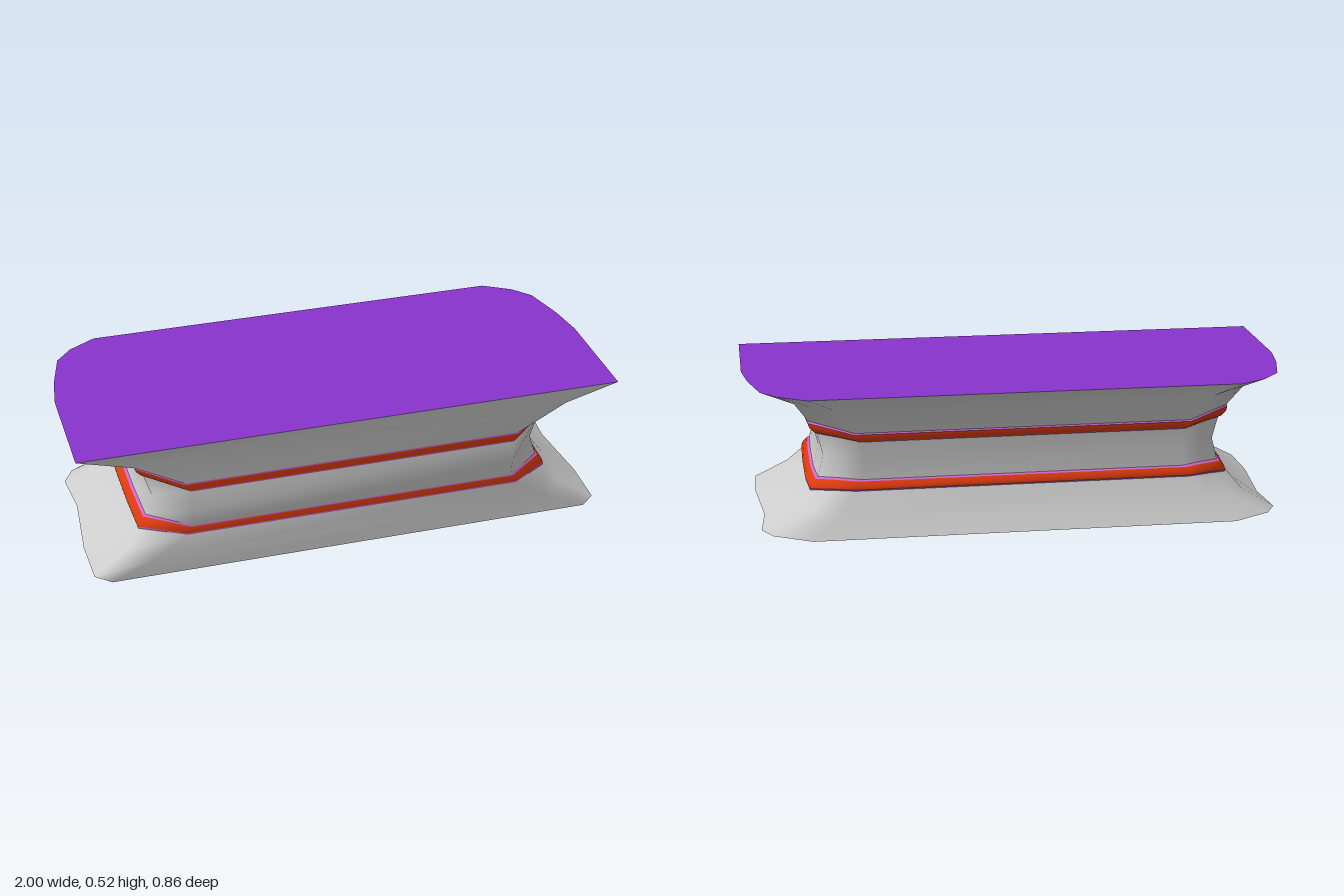
import * as THREE from 'three';

const H = 0.52; // total height
const grey = 0xcccccc, orange = 0xdd3a10, pink = 0xcc66cc, purple = 0x8833cc;

// Half outlines [x, z], from the front corner round the +x side to the back
const TOP = [[1, 0.42], [1, 0.3], [1, 0], [0.98, -0.14], [0.94, -0.3], [0.88, -0.37], [0.78, -0.43]];
const TOP_MID = [[0.8, 0.42], [0.84, 0.32], [0.845, 0.06], [0.835, -0.12], [0.82, -0.27], [0.76, -0.32], [0.68, -0.38]];
const BASE = [[0.9, 0.42], [0.955, 0.37], [0.96, 0.18], [0.935, -0.1], [0.95, -0.28], [0.91, -0.35], [0.77, -0.43]];
const BASE_MID = [[0.74, 0.42], [0.83, 0.34], [0.845, 0.14], [0.83, -0.1], [0.83, -0.26], [0.77, -0.31], [0.67, -0.38]];
const BAND_OUT = [[0.62, 0.42], [0.775, 0.3], [0.78, 0.1], [0.78, -0.1], [0.77, -0.235], [0.7, -0.28], [0.61, -0.342]];
const BAND_IN = [[0.6, 0.42], [0.745, 0.29], [0.75, 0.1], [0.75, -0.1], [0.74, -0.23], [0.67, -0.27], [0.59, -0.325]];
const WAIST = [[0.6, 0.43], [0.72, 0.29], [0.73, 0.1], [0.73, -0.1], [0.72, -0.225], [0.66, -0.265], [0.58, -0.32]];
// Heights of the lower band's edges; it dips along the sides
const LOW = [0.152, 0.13, 0.13, 0.13, 0.13, 0.14, 0.152];
const HIGH = [0.188, 0.179, 0.179, 0.179, 0.179, 0.184, 0.19];

// Full ring of points at a level, mirrored across x
const mirrorX = half => [...half, ...half.map(([x, y, z]) => [-x, y, z]).reverse()];
const level = (outline, y) => mirrorX(outline.map(([x, z]) => [x, y, z]));

// Ring of points on the band; s runs from the flared edge (0) to the waist edge (1)
const bandRow = (s, bulge = 0) => mirrorX(BAND_OUT.map(([x, z], i) => [
  THREE.MathUtils.lerp(x, BAND_IN[i][0], s) + bulge,
  THREE.MathUtils.lerp(LOW[i], HIGH[i], s),
  THREE.MathUtils.lerp(z, BAND_IN[i][1], s) - (z < -0.2 ? bulge : 0),
]));

// Turns rows upside down for the upper half
const flip = rows => rows.map(r => r.map(([x, y, z]) => [x, H - y, z])).reverse();

// Smooth skin through rows of points, listed bottom to top
function loft(name, rows, color) {
  const n = rows[0].length, index = [];
  for (let r = 0; r < rows.length - 1; r++) {
    for (let i = 0; i < n; i++) {
      const j = (i + 1) % n;
      const a = r * n + i, b = r * n + j, c = b + n, d = a + n;
      index.push(a, b, c, a, c, d);
    }
  }
  const geo = new THREE.BufferGeometry();
  geo.setAttribute('position', new THREE.Float32BufferAttribute(rows.flat(2), 3));
  geo.setIndex(index);
  geo.computeVertexNormals();
  return makeMesh(name, geo, color);
}

function makeMesh(name, geo, color) {
  const mesh = new THREE.Mesh(geo, new THREE.MeshStandardMaterial({ color }));
  mesh.name = name;
  return mesh;
}

// Flat plate closing an end
function cap(name, outline, y, up) {
  const pts = level(outline, y).map(([x, , z]) => new THREE.Vector2(x, up ? -z : z));
  const geo = new THREE.ShapeGeometry(new THREE.Shape(pts));
  geo.rotateX(up ? -Math.PI / 2 : Math.PI / 2).translate(0, y, 0);
  return makeMesh(name, geo, purple);
}

export function createModel() {
  const model = new THREE.Group();
  model.name = 'flaredBlock';

  // Flared skirts
  const lowerEdge = bandRow(0);
  model.add(loft('lowerSkirt', [level(BASE, 0), level(BASE_MID, 0.07), lowerEdge], grey));
  model.add(loft('upperSkirt', [...flip([lowerEdge]), level(TOP_MID, 0.465), level(TOP, H)], grey));

  // Pinched waist
  const waistEdge = bandRow(1);
  model.add(loft('waist', [waistEdge, level(WAIST, H / 2), ...flip([waistEdge])], grey));

  // Raised bands with thin coloured borders
  const strips = [
    ['outerBorder', [bandRow(0), bandRow(0.15, 0.006)], pink],
    ['band', [bandRow(0.15, 0.006), bandRow(0.5, 0.011), bandRow(0.87, 0.006)], orange],
    ['innerBorder', [bandRow(0.87, 0.006), bandRow(1)], pink],
  ];
  for (const side of ['lower', 'upper']) {
    const group = new THREE.Group();
    group.name = side + 'Band';
    for (const [name, rows, color] of strips) {
      group.add(loft(name, side === 'upper' ? flip(rows) : rows, color));
    }
    model.add(group);
  }

  // End plates
  model.add(cap('topPlate', TOP, H, true), cap('bottomPlate', BASE, 0, false));
  return model;
}
